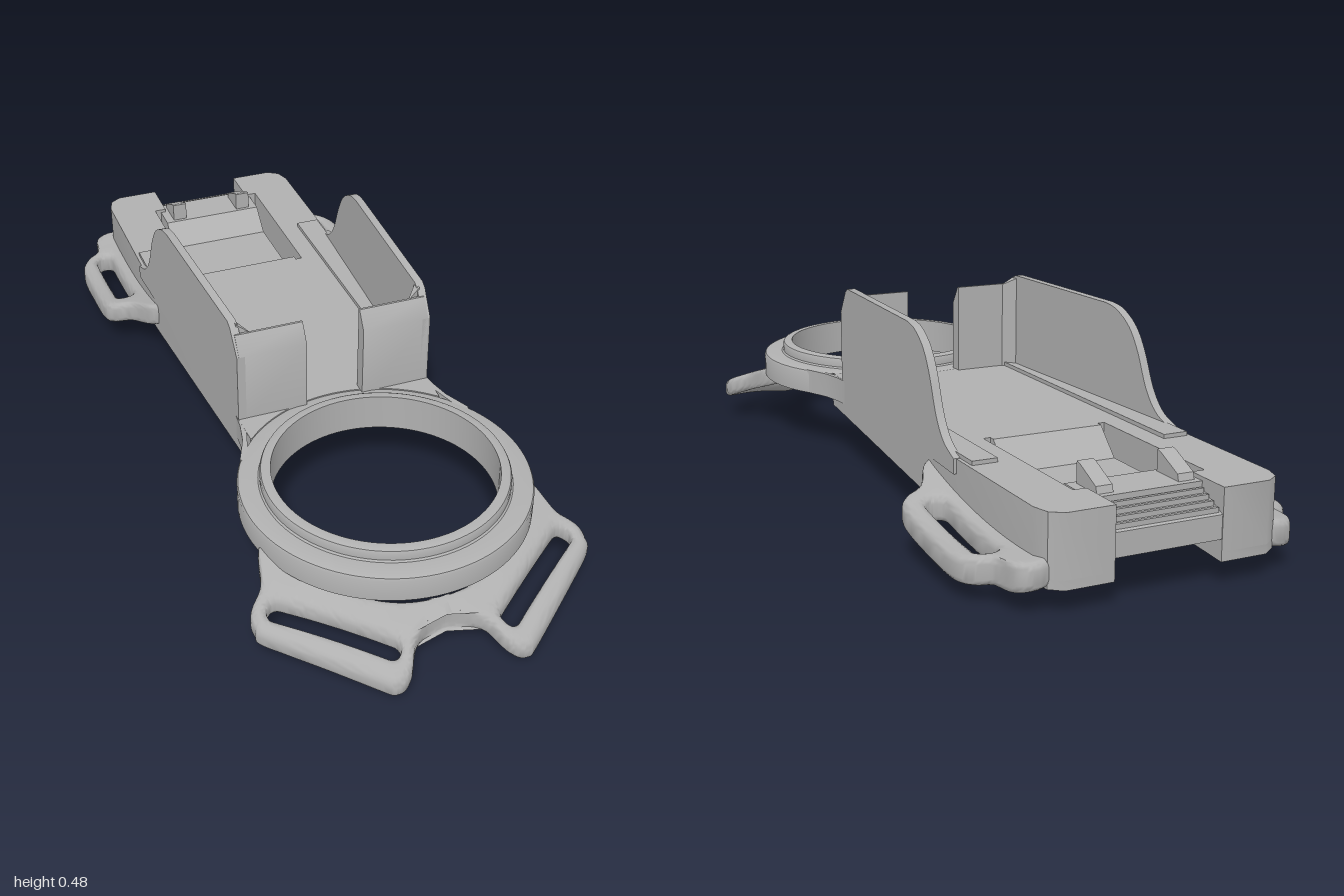
import * as THREE from 'three';
import { toCreasedNormals } from 'three/addons/utils/BufferGeometryUtils.js';

const RING_Z = 0.54;
const vecs = pts => pts.map(([a, b]) => new THREE.Vector2(a, b));
const spline = (pts, n) => new THREE.SplineCurve(vecs(pts)).getPoints(n);

// Extrude a (z, y) profile along x
function extrudeX(points, x0, x1) {
  const g = new THREE.ExtrudeGeometry(new THREE.Shape(points), { depth: x1 - x0, bevelEnabled: false });
  return g.rotateY(-Math.PI / 2).translate(x1, 0, 0);
}

// Extrude an (x, z) outline along y
function extrudeY(shape, y0, y1) {
  const g = new THREE.ExtrudeGeometry(shape, { depth: y1 - y0, bevelEnabled: false });
  return g.rotateX(Math.PI / 2).translate(0, y1, 0);
}

// Move every vertex by a rule
function warp(g, rule) {
  const p = g.attributes.position, v = new THREE.Vector3();
  for (let i = 0; i < p.count; i++) {
    v.fromBufferAttribute(p, i);
    rule(v);
    p.setXYZ(i, v.x, v.y, v.z);
  }
  return g;
}

// Rounded section of a strap loop: d wide, 2h thick, as [offset from slot, height]
function loopSection(d, h) {
  const b = Math.min(0.018, d * 0.45), rows = [];
  const corner = (u, y, start) => {
    for (let k = 0; k <= 4; k++) {
      const a = start + k * Math.PI / 8;
      rows.push([u + b * Math.cos(a), y + b * Math.sin(a)]);
    }
  };
  corner(d - b, h - b, 0);
  for (let m = 1; m < 4; m++) rows.push([d - b - (d - 2 * b) * m / 4, h]);
  corner(b, h - b, Math.PI / 2);
  corner(b, b - h, Math.PI);
  for (let m = 1; m < 4; m++) rows.push([b + (d - 2 * b) * m / 4, -h]);
  corner(d - b, b - h, Math.PI * 1.5);
  return rows;
}

// Strap loop: rounded sections swept between an (x, z) outline and a stadium slot from a to b; s mirrors it
function strapLoop(outline, a, b, r, h, s, height) {
  const pos = [], index = [], n = outline.length, seg = new THREE.Vector2().subVectors(b, a);
  outline.forEach((o, i) => {
    const t = THREE.MathUtils.clamp(o.clone().sub(a).dot(seg) / seg.lengthSq(), 0, 1);
    const foot = a.clone().addScaledVector(seg, t), dir = o.clone().sub(foot);
    const d = dir.length() - r;
    dir.normalize();
    const rows = loopSection(d, h), m = rows.length;
    rows.forEach(([u, y], j) => {
      const x = foot.x + dir.x * (r + u), z = foot.y + dir.y * (r + u);
      pos.push(s * x, y + height(x, z), z);
      const i2 = (i + 1) % n, j2 = (j + 1) % m;
      const p = i * m + j, q = i * m + j2, e = i2 * m + j, f = i2 * m + j2;
      index.push(...(s > 0 ? [p, q, e, q, f, e] : [p, e, q, q, e, f]));
    });
  });
  const g = new THREE.BufferGeometry();
  g.setAttribute('position', new THREE.Float32BufferAttribute(pos, 3));
  g.setIndex(index);
  return g;
}

// Base outline, concave at the ring and notched at the rear
function baseShape() {
  const right = [[0.252, 0.297], [0.256, 0.2], [0.287, -0.45], [0.287, -0.94], [0.275, -0.98], [0.245, -1],
    [0.13, -1], [0.13, -0.88], [0.162, -0.88], [0.162, -0.46]];
  const left = right.map(([x, z]) => [-x, z]).reverse();
  const arc = [];
  for (let i = 0; i <= 20; i++) {
    const x = -0.248 + 0.496 * i / 20;
    arc.push([x, RING_Z - Math.sqrt(0.3475 ** 2 - x * x)]);
  }
  return new THREE.Shape(vecs([...right, ...left, ...arc]));
}

export function createModel() {
  const model = new THREE.Group();
  const grey = new THREE.MeshStandardMaterial({ color: 0xb0b0b0 });
  grey.name = 'plain grey';
  const add = (name, g, crease = 0.6) => {
    const mesh = new THREE.Mesh(toCreasedNormals(g, crease), grey);
    mesh.name = name;
    model.add(mesh);
  };

  // Base: flat top, sloping underside with four blind screw holes
  const slope = 0.058;
  add('baseBlock', warp(extrudeY(baseShape(), 0.14, 0.225), v => { if (v.y < 0.2) v.y = 0.14 + slope * v.z; }));
  const bottom = baseShape();
  for (const x of [-0.18, 0.18]) for (const z of [-0.31, 0.04]) {
    const hole = new THREE.Path();
    hole.absarc(x, z, 0.018, 0, Math.PI * 2);
    bottom.holes.push(hole);
  }
  add('baseUnderside', warp(extrudeY(bottom, 0.118, 0.14), v => { v.y += slope * v.z; }));

  // Ring with raised lip and a groove underneath
  const ringProfile = vecs([[0.338, 0.16], [0.35, 0.16], [0.35, 0.216], [0.347, 0.222], [0.34, 0.225], [0.3, 0.225],
    [0.296, 0.229], [0.296, 0.246], [0.293, 0.252], [0.287, 0.255], [0.27, 0.255], [0.27, 0.16], [0.322, 0.16],
    [0.322, 0.17], [0.338, 0.17], [0.338, 0.16]]);
  add('ring', new THREE.LatheGeometry(ringProfile, 96).translate(0, 0, RING_Z));

  // Front bracket half: outer scallops, then back along the ring; the halves overlap at the middle
  const bracket = spline([[0.31, 0.57], [0.345, 0.62], [0.368, 0.7], [0.408, 0.75], [0.412, 0.785], [0.39, 0.822],
    [0.2, 0.975], [0.155, 0.999], [0.12, 0.982], [0.088, 0.93], [0.05, 0.902], [0, 0.892], [-0.03, 0.894]], 90);
  for (let i = 0; i <= 50; i++) {
    const a = Math.PI * (0.53 - 0.49 * i / 50), r = 0.297 + 0.018 * Math.sin(a);
    bracket.push(new THREE.Vector2(r * Math.cos(a), RING_Z + r * Math.sin(a)));
  }
  const droop = (x, z) => {
    const dz = z - 0.62;
    return 0.15 - 0.19 * (Math.hypot(x, z - RING_Z) - 0.35) - 0.2 * dz - 0.17 * dz * dz;
  };

  // Rear lug outline, its inner edge buried in the base
  const rearLug = spline([[0.25, -0.975], [0.295, -0.985], [0.333, -0.965], [0.35, -0.9], [0.385, -0.872],
    [0.41, -0.825], [0.412, -0.7], [0.41, -0.57], [0.39, -0.53], [0.34, -0.5], [0.3, -0.43], [0.25, -0.4]], 70);
  for (let i = 1; i < 20; i++) rearLug.push(new THREE.Vector2(0.25, -0.4 - 0.575 * i / 20));
  const lugCurve = (x, z) => 0.082 + 0.33 * (z + 0.86) ** 2 - 0.12 * (x - 0.34);

  // Side wall outline with a chamfered front and an S-curved tail
  const wallProfile = [...vecs([[0.215, 0.19], [0.215, 0.41], [0.172, 0.472], [0.155, 0.482]]),
    ...spline([[-0.29, 0.482], [-0.34, 0.473], [-0.395, 0.44], [-0.435, 0.385], [-0.475, 0.3],
      [-0.52, 0.25], [-0.58, 0.226]], 32), ...vecs([[-0.58, 0.19]])];
  const flange = vecs([[0.215, 0.19], [0.215, 0.41], [0.186, 0.457], [0.18, 0.457], [0.18, 0.19]]);
  const hook = vecs([[-0.82, 0.2], [-0.82, 0.266], [-0.835, 0.262], [-0.9, 0.232], [-0.91, 0.2]]);

  for (const s of [-1, 1]) {
    const side = s > 0 ? 'left' : 'right';
    const across = (pts, a, b) => extrudeX(pts, Math.min(s * a, s * b), Math.max(s * a, s * b));
    const plan = pts => new THREE.Shape(vecs(pts.map(([x, z]) => [s * x, z])));

    add(side + 'Wall', warp(across(wallProfile, 0.235, 0.256), v => { v.x += s * 0.049 * (0.2 - v.z); }));
    add(side + 'FrontFlange', across(flange, 0.075, 0.25));

    // Slanted fillet in the corner between wall and flange
    const fillet = plan([[0.205, 0.185], [0.242, 0.172], [0.242, 0.145]]);
    add(side + 'CornerFillet', warp(extrudeY(fillet, 0.21, 0.46), v => {
      if (v.y > 0.4) v.y = 0.455 + 0.7 * (Math.abs(v.x) - 0.21);
    }));

    // Curved neck between base and ring
    add(side + 'RingNeck', extrudeY(plan([[0.23, 0.19], [0.256, 0.195], [0.26, 0.24], [0.272, 0.295],
      [0.302, 0.365], [0.285, 0.38]]), 0.16, 0.2245));

    // Low floor rail beside the wall
    const rail = plan([[0.215, 0.18], [0.24, 0.18], [0.278, -0.52], [0.278, -0.64], [0.215, -0.64]]);
    add(side + 'FloorRail', extrudeY(rail, 0.22, 0.235));

    // Strap loops, front and rear
    add(side + 'FrontStrapLoop', strapLoop(bracket, new THREE.Vector2(0.355, 0.772),
      new THREE.Vector2(0.145, 0.926), 0.022, 0.026, s, droop), 0.8);
    add(side + 'RearStrapLug', strapLoop(rearLug, new THREE.Vector2(0.341, -0.835),
      new THREE.Vector2(0.341, -0.595), 0.024, 0.032, s, lugCurve), 0.8);

    add(side + 'LatchHook', across(hook, 0.08, 0.12));
  }

  // Flexible latch tongue with a dipped middle
  const tongue = vecs([[-0.455, 0.225], [-0.475, 0.225], [-0.54, 0.16], [-0.75, 0.16], [-0.81, 0.216],
    [-0.92, 0.216], [-0.92, 0.2], [-0.998, 0.165], [-0.998, 0.11], [-0.455, 0.125]]);
  add('latchTongue', extrudeX(tongue, -0.144, 0.144));

  // Grip ribs on the tongue's sloping end
  for (let i = 0; i < 4; i++) {
    const rib = new THREE.BoxGeometry(0.25, 0.014, 0.008);
    add('gripRib', rib.translate(0, 0.198 - 0.0085 * i, -0.93 - 0.019 * i));
  }
  return model;
}
